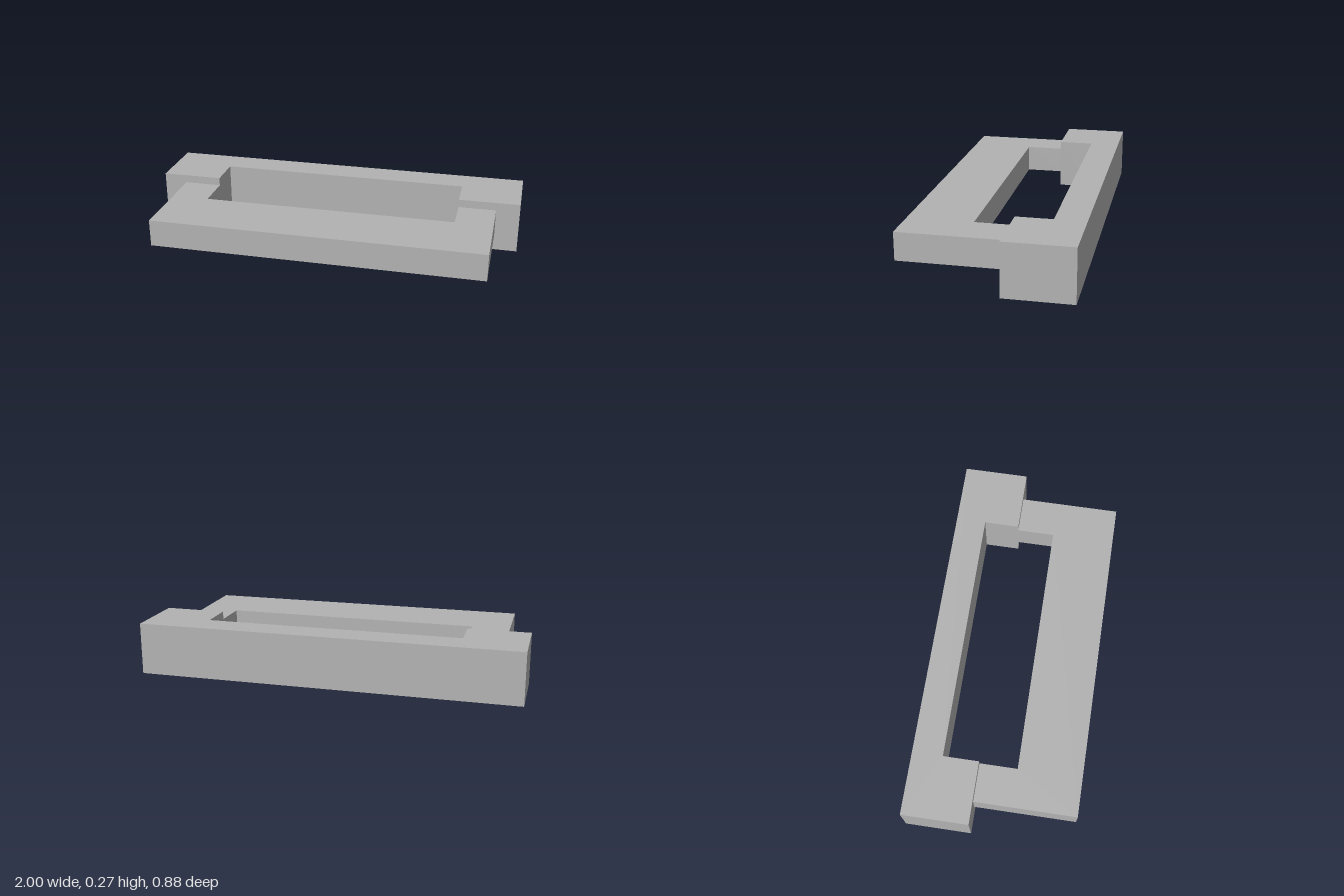
import * as THREE from 'three';

// U-shaped bar seen in plan: closed side at zOuter, floor of the notch at zNotch, arm tips at zTip
function uBar(name, halfWidth, halfNotch, zOuter, zNotch, zTip, yBottom, yTop, material) {
  const outline = [
    [-halfWidth, zOuter], [halfWidth, zOuter], [halfWidth, zTip], [halfNotch, zTip],
    [halfNotch, zNotch], [-halfNotch, zNotch], [-halfNotch, zTip], [-halfWidth, zTip],
  ];
  const shape = new THREE.Shape(outline.map(([x, z]) => new THREE.Vector2(x, -z)));
  const geometry = new THREE.ExtrudeGeometry(shape, { depth: yTop - yBottom, bevelEnabled: false });
  geometry.rotateX(-Math.PI / 2);
  geometry.translate(0, yBottom, 0);
  const mesh = new THREE.Mesh(geometry, material);
  mesh.name = name;
  return mesh;
}

export function createModel() {
  const group = new THREE.Group();
  group.name = 'frame';
  const grey = new THREE.MeshStandardMaterial({ color: 0xb2b2b2 });
  grey.name = 'grey';

  // Tall, wide bracket at the back and thinner, narrower bracket at the front, joined at the arm tips
  group.add(
    uBar('backBracket', 1, 0.675, -0.44, -0.28, -0.093, 0, 0.273, grey),
    uBar('frontBracket', 0.875, 0.675, 0.44, 0.105, -0.093, 0.086, 0.23, grey),
  );
  return group;
}
